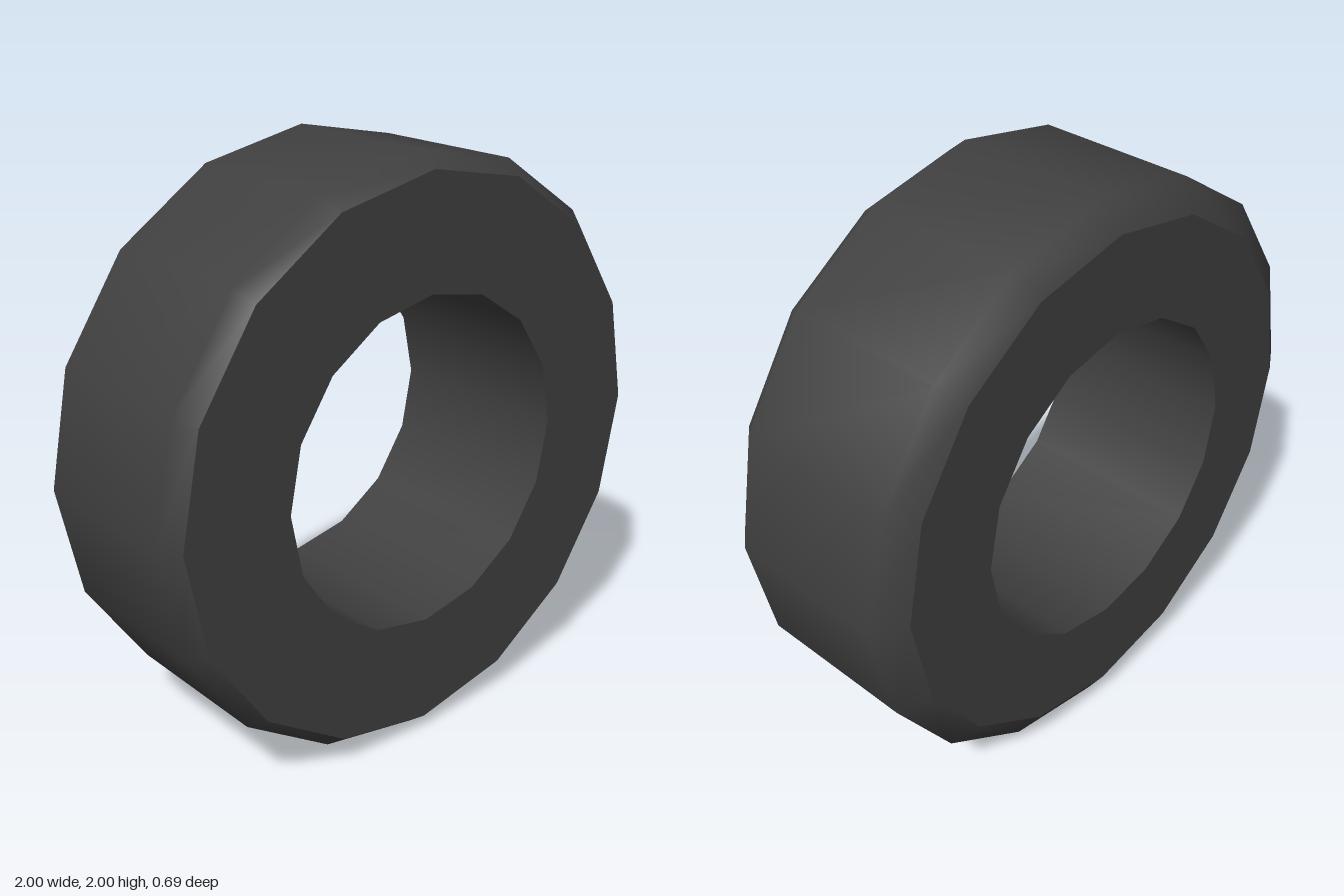
import * as THREE from 'three';

const SIDES = 16;

export function createModel() {
  const group = new THREE.Group();
  group.name = 'tyre';
  const rubber = new THREE.MeshStandardMaterial({ color: 0x404040 });

  // Revolve a [radius, z] profile around the z axis; its sharp edges are part borders
  const ring = (name, profile) => {
    const points = profile.map(([r, z]) => new THREE.Vector2(r, z));
    const geometry = new THREE.LatheGeometry(points, SIDES);
    geometry.rotateX(Math.PI / 2);
    const mesh = new THREE.Mesh(geometry, rubber);
    mesh.name = name;
    mesh.position.y = 1;
    group.add(mesh);
  };

  // Tread with a deeper bevel at the back than at the front
  ring('tread', [[0.9, -0.343], [1, -0.28], [1, 0.28], [0.95, 0.343]]);
  // Flat side walls and the open bore
  ring('frontSidewall', [[0.95, 0.343], [0.567, 0.343]]);
  ring('bore', [[0.567, 0.343], [0.567, -0.343]]);
  ring('backSidewall', [[0.567, -0.343], [0.9, -0.343]]);

  return group;
}
